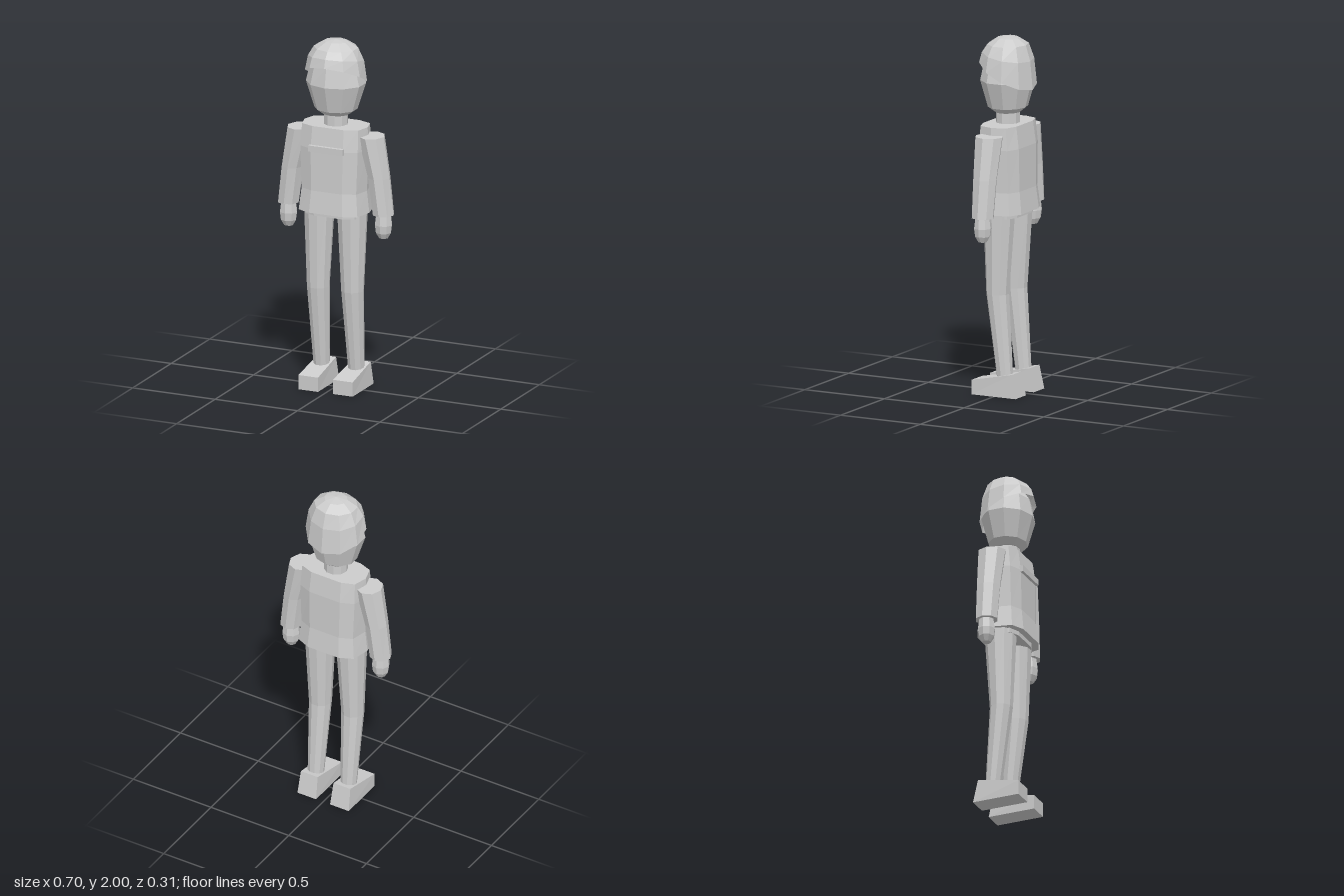
import * as THREE from 'three';

const grey = new THREE.MeshStandardMaterial({ color: 0xcccccc, side: THREE.DoubleSide });
grey.name = 'plain grey';

// Faceted solid through rings listed bottom to top: [y, rx, rz, cx, cz, tilt]
function loft(name, rings, { sides = 10, power = 1, phase = 0, open = false } = {}) {
  const pos = [], idx = [];
  const bend = v => Math.sign(v) * Math.pow(Math.abs(v), power);
  for (const [y, rx, rz, cx = 0, cz = 0, tilt = 0] of rings) {
    for (let i = 0; i < sides; i++) {
      const a = phase + i / sides * Math.PI * 2;
      const z = rz * bend(Math.sin(a));
      pos.push(cx + rx * bend(Math.cos(a)), y + tilt * z, cz + z);
    }
  }
  for (let r = 0; r < rings.length - 1; r++) {
    for (let i = 0; i < sides; i++) {
      const a = r * sides + i, b = r * sides + (i + 1) % sides;
      idx.push(a, a + sides, b, b, a + sides, b + sides);
    }
  }
  const cap = (r, top) => {
    const [y, , , cx = 0, cz = 0] = rings[r];
    const c = pos.length / 3, s = r * sides;
    pos.push(cx, y, cz);
    for (let i = 0; i < sides; i++) {
      const a = s + i, b = s + (i + 1) % sides;
      idx.push(c, top ? b : a, top ? a : b);
    }
  };
  if (!open) cap(0, false);
  cap(rings.length - 1, true);
  const geo = new THREE.BufferGeometry();
  geo.setAttribute('position', new THREE.Float32BufferAttribute(pos, 3));
  geo.setIndex(idx);
  return part(name, geo.toNonIndexed());
}

function part(name, geo) {
  geo.computeVertexNormals();
  const mesh = new THREE.Mesh(geo, grey);
  mesh.name = name;
  return mesh;
}

// Wedge shoe: low toe, higher heel that leans forward
function shoe(name, s) {
  const geo = new THREE.BoxGeometry(0.12, 1, 0.274).toNonIndexed();
  const p = geo.attributes.position;
  for (let i = 0; i < p.count; i++) {
    const top = p.getY(i) > 0, back = p.getZ(i) < 0;
    const x = p.getX(i) * (top && back ? 0.9 : 1);
    p.setXYZ(i, x + s * 0.105, top ? (back ? 0.132 : 0.082) : 0, top && back ? -0.11 : p.getZ(i));
  }
  return part(name, geo);
}

export function createModel() {
  const model = new THREE.Group();
  model.name = 'figure';
  const vertexFront = Math.PI / 2;

  // Head, neck and tilted cap
  model.add(
    loft('neck', [[1.49, 0.068, 0.066], [1.62, 0.068, 0.066]]),
    loft('head', [
      [1.575, 0.08, 0.07], [1.605, 0.122, 0.108], [1.755, 0.17, 0.148],
      [1.86, 0.143, 0.128], [1.93, 0.09, 0.08],
    ], { phase: vertexFront }),
    loft('cap', [
      [1.79, 0.175, 0.155, 0, 0, 0.52], [1.892, 0.158, 0.14, 0, 0, 0.18],
      [1.955, 0.125, 0.112], [1.99, 0.066, 0.06], [2.0, 0.002, 0.002],
    ], { phase: vertexFront, open: true }),
  );

  // Jacket, hips and chest pocket
  model.add(
    loft('jacket', [
      [1.025, 0.202, 0.143], [1.15, 0.188, 0.128], [1.39, 0.198, 0.125], [1.515, 0.192, 0.108],
    ], { power: 0.6 }),
    loft('hips', [[1.0, 0.17, 0.106], [1.1, 0.17, 0.106]], { power: 0.6 }),
  );
  const pocket = part('chestPocket', new THREE.BoxGeometry(0.208, 0.035, 0.033));
  pocket.position.set(0, 1.394, 0.122);
  model.add(pocket);

  // Limbs on both sides
  for (const [side, s] of [['left', 1], ['right', -1]]) {
    model.add(
      loft(side + 'Sleeve', [
        [1.028, 0.061, 0.064, s * 0.288], [1.24, 0.063, 0.07, s * 0.262], [1.472, 0.076, 0.081, s * 0.214],
      ], { sides: 8 }),
      loft(side + 'Hand', [
        [0.893, 0.026, 0.024, s * 0.288], [0.925, 0.045, 0.043, s * 0.288],
        [0.97, 0.051, 0.049, s * 0.288], [1.04, 0.042, 0.04, s * 0.288],
      ], { sides: 8 }),
      loft(side + 'Leg', [
        [0.1, 0.046, 0.045, s * 0.105, -0.04], [0.57, 0.064, 0.064, s * 0.104, 0.007],
        [1.06, 0.086, 0.092, s * 0.1, 0],
      ]),
      shoe(side + 'Shoe', s),
    );
  }
  return model;
}
